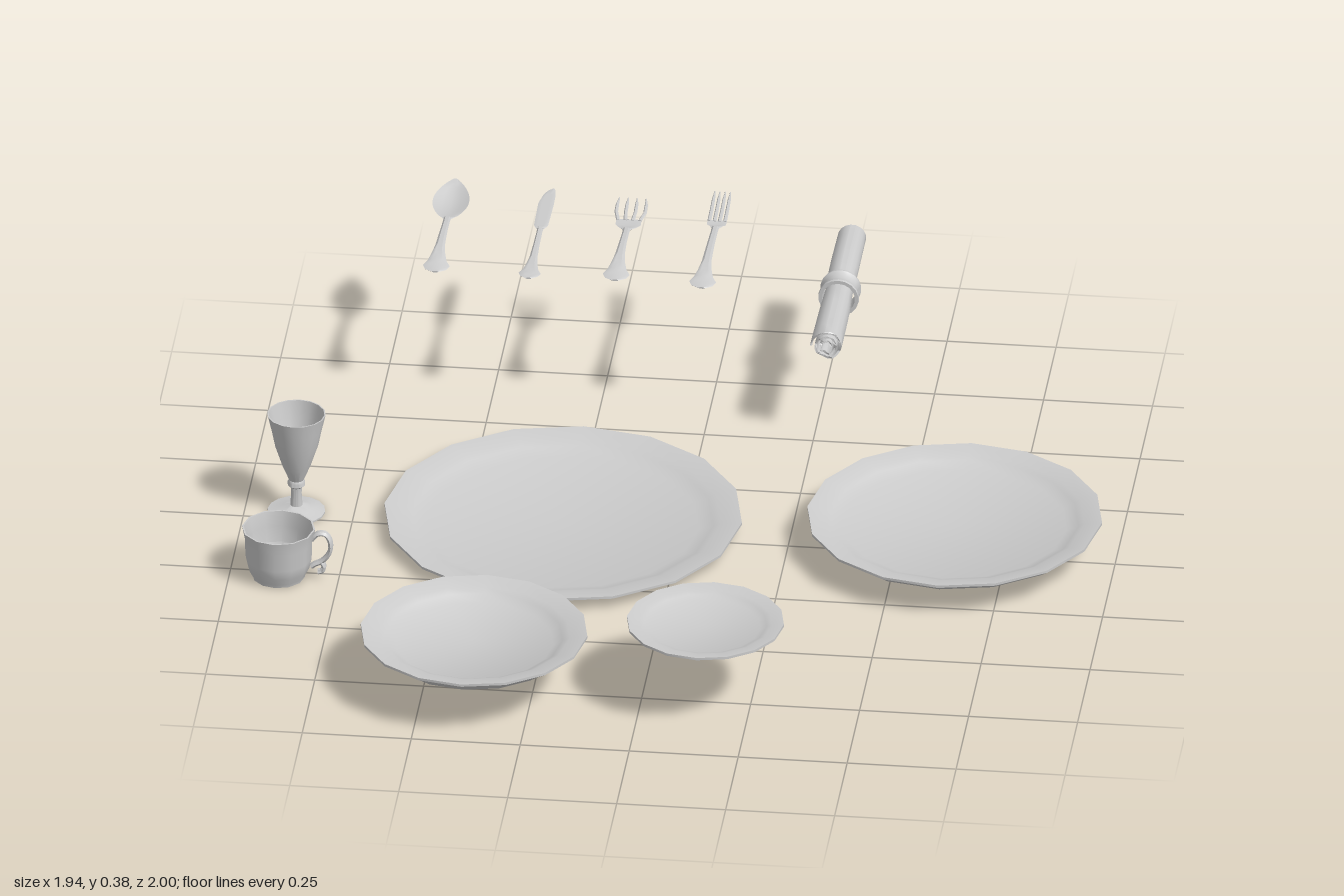
import * as THREE from 'three';
import { toCreasedNormals } from 'three/addons/utils/BufferGeometryUtils.js';

const material = new THREE.MeshStandardMaterial({ color: 0xcccccc, side: THREE.DoubleSide });

function addMesh(parent, name, geometry, x = 0, y = 0, z = 0) {
  const mesh = new THREE.Mesh(toCreasedNormals(geometry, 0.62), material);
  mesh.name = name;
  mesh.position.set(x, y, z);
  parent.add(mesh);
  return mesh;
}

const lathe = (profile, sides) =>
  new THREE.LatheGeometry(profile.map(([r, y]) => new THREE.Vector2(r, y)), sides);

// Plate: flat base, sloping rim, shallow well
function plate(parent, name, x, y, z, r, h, base, well) {
  const profile = [
    [0, 0], [base * r, 0], [(base + 0.08) * r, h * 0.38], [r, h - 0.006], [r, h],
    [well * r + (1 - well) * r * 0.4, h * 0.8], [(well + 0.04) * r, h * 0.62],
    [(well - 0.04) * r, h * 0.3], [0, h * 0.26],
  ];
  addMesh(parent, name, lathe(profile, 16), x, y, z);
}

// Solid strip along -z from stations [z, halfWidth, y, thickness, dish, xOffset]
function strip(stations) {
  const positions = [], index = [], n = 8;
  for (const [z, w, y, t, dish = 0, x = 0] of stations) {
    const ring = [
      [-w, 0], [-w / 2, t / 2 - 0.75 * dish], [0, t / 2 - dish], [w / 2, t / 2 - 0.75 * dish],
      [w, 0], [w / 2, -t / 2 - 0.75 * dish], [0, -t / 2 - dish], [-w / 2, -t / 2 - 0.75 * dish],
    ];
    for (const [px, py] of ring) positions.push(x + px, y + py, z);
  }
  for (let i = 0; i < stations.length - 1; i++) {
    for (let j = 0; j < n; j++) {
      const a = i * n + j, b = i * n + (j + 1) % n;
      index.push(a, b, b + n, a, b + n, a + n);
    }
  }
  const last = (stations.length - 1) * n;
  for (let j = 1; j < n - 1; j++) index.push(0, j + 1, j, last, last + j, last + j + 1);
  const geometry = new THREE.BufferGeometry();
  geometry.setAttribute('position', new THREE.Float32BufferAttribute(positions, 3));
  geometry.setIndex(index);
  geometry.computeVertexNormals();
  return geometry;
}

// Handle with flared, pointed end; arch lifts its middle
function handle(end, neck, arch) {
  const y = 0.362, L = end - neck;
  return [
    [end, 0.008, y, 0.004], [end - 0.01, 0.024, y, 0.006], [end - 0.024, 0.031, y + arch * 0.2, 0.007],
    [end - 0.04, 0.022, y + arch * 0.45, 0.008], [end - 0.065, 0.016, y + arch * 0.75, 0.009],
    [end - 0.1, 0.011, y + arch, 0.009], [end - L * 0.65, 0.009, y + arch * 0.9, 0.009],
    [neck + 0.02, 0.008, y + arch * 0.45, 0.009], [neck, 0.009, y + arch * 0.3, 0.008],
  ];
}

function spoon(parent, x) {
  const g = new THREE.Group();
  g.name = 'spoon';
  addMesh(g, 'spoonHandle', strip(handle(-0.542, -0.79, 0.014)));
  const bowl = [];
  for (let i = 0; i <= 12; i++) {
    const t = i / 12;
    const w = 0.042 * Math.pow(Math.sin(Math.PI * (0.04 + 0.94 * Math.pow(t, 0.9))), 0.75);
    bowl.push([-0.785 - 0.165 * t, w, 0.366 + 0.013 * t, 0.004, 0.014 * Math.sin(Math.PI * t)]);
  }
  addMesh(g, 'spoonBowl', strip(bowl));
  g.position.x = x;
  parent.add(g);
}

function knife(parent, x) {
  const g = new THREE.Group();
  g.name = 'knife';
  addMesh(g, 'knifeHandle', strip(handle(-0.535, -0.775, 0).map(([z, w, y, t]) => [z, w * 0.83, y, t])));
  addMesh(g, 'knifeBlade', strip([
    [-0.77, 0.009, 0.362, 0.006], [-0.785, 0.016, 0.362, 0.004], [-0.83, 0.017, 0.362, 0.003],
    [-0.89, 0.018, 0.362, 0.003], [-0.93, 0.014, 0.362, 0.003, 0, 0.003],
    [-0.95, 0.009, 0.362, 0.003, 0, 0.006], [-0.96, 0.003, 0.362, 0.002, 0, 0.009],
  ]));
  g.position.x = x;
  parent.add(g);
}

// Fork: handle, curved head and four tines
function fork(parent, name, x, end, neck, root, tip, halfWidth, spread) {
  const g = new THREE.Group();
  g.name = name;
  addMesh(g, name + 'Handle', strip(handle(end, neck, 0.014)));
  const mid = (neck + root) / 2;
  addMesh(g, name + 'Head', strip([
    [neck + 0.004, 0.009, 0.366, 0.007], [neck - 0.01, halfWidth * 0.7, 0.364, 0.006, 0.002],
    [mid, halfWidth, 0.363, 0.005, 0.003], [root, halfWidth, 0.365, 0.005, 0.003],
  ]));
  for (let i = 0; i < 4; i++) {
    const s = (i - 1.5) / 1.5, inner = halfWidth - 0.004, L = root - tip;
    addMesh(g, name + 'Tine', strip([
      [root + 0.004, 0.0045, 0.364, 0.005, 0, s * inner],
      [root - L * 0.4, 0.0042, 0.367, 0.005, 0, s * (inner + spread)],
      [root - L * 0.75, 0.0038, 0.373, 0.005, 0, s * (inner + spread)],
      [tip, 0.0015, 0.378, 0.003, 0, s * (inner + spread * 0.7)],
    ]));
  }
  g.position.x = x;
  parent.add(g);
}

function cup(parent) {
  const g = new THREE.Group();
  g.name = 'cup';
  addMesh(g, 'cupBowl', lathe([
    [0, 0.006], [0.05, 0.006], [0.052, 0], [0.06, 0], [0.062, 0.008], [0.071, 0.025], [0.076, 0.05],
    [0.077, 0.09], [0.084, 0.125], [0.08, 0.125], [0.072, 0.09], [0.071, 0.05], [0.055, 0.018], [0, 0.016],
  ], 12));
  const path = [[0.077, 0.1], [0.09, 0.115], [0.108, 0.115], [0.119, 0.095], [0.117, 0.068],
    [0.1, 0.045], [0.083, 0.036], [0.076, 0.03]];
  const curl = [[0.098, 0.044], [0.104, 0.032], [0.1, 0.02], [0.091, 0.017]];
  for (const [name, pts] of [['cupHandle', path], ['cupHandleCurl', curl]]) {
    const curve = new THREE.CatmullRomCurve3(pts.map(([x, y]) => new THREE.Vector3(x, y, 0)));
    addMesh(g, name, new THREE.TubeGeometry(curve, 16, 0.006, 6)).scale.z = 1.8;
  }
  g.position.set(-0.888, 0, 0.27);
  parent.add(g);
}

function napkin(parent) {
  const g = new THREE.Group();
  g.name = 'rolledNapkin';
  // Spiral cross-section extruded along z
  const outer = [], inner = [], steps = 44, length = 0.52;
  for (let i = 0; i <= steps; i++) {
    const a = (i / steps) * Math.PI * 5, r = 0.012 + 0.026 * (i / steps);
    outer.push(new THREE.Vector2(Math.cos(a) * r, Math.sin(a) * r));
    inner.push(new THREE.Vector2(Math.cos(a) * (r - 0.005), Math.sin(a) * (r - 0.005)));
  }
  const roll = new THREE.ExtrudeGeometry(new THREE.Shape([...outer, ...inner.reverse()]),
    { depth: length, steps: 12, bevelEnabled: false });
  // Pinch under the ring, slight sag and uneven front edge
  const p = roll.attributes.position;
  for (let i = 0; i < p.count; i++) {
    const x = p.getX(i), y = p.getY(i), t = p.getZ(i) / length;
    const k = 0.93 + 0.1 * t - 0.08 * Math.exp(-Math.pow((t - 0.5) / 0.12, 2));
    const ragged = t > 0.99 ? 0.005 * Math.sin(Math.atan2(y, x) * 4) : 0;
    p.setXYZ(i, x * k, y * k + 0.003 * Math.sin(t * 7), p.getZ(i) + ragged);
  }
  roll.computeVertexNormals();
  addMesh(g, 'napkinRoll', roll, 0, 0, -1);
  const ring = lathe([
    [0.038, -0.027], [0.046, -0.027], [0.047, -0.021], [0.041, -0.012], [0.04, 0],
    [0.041, 0.012], [0.047, 0.021], [0.046, 0.027], [0.038, 0.027], [0.037, 0], [0.038, -0.027],
  ], 18);
  addMesh(g, 'napkinRing', ring, 0, 0, -0.737).rotation.x = Math.PI / 2;
  g.position.set(0.284, 0.257, 0);
  parent.add(g);
}

export function createModel() {
  const model = new THREE.Group();
  model.name = 'tableSetting';

  plate(model, 'chargerPlate', -0.27, 0, -0.035, 0.41, 0.035, 0.82, 0.8);
  plate(model, 'dinnerPlate', 0.628, 0.05, -0.037, 0.338, 0.036, 0.85, 0.8);
  plate(model, 'saladPlate', -0.386, 0.105, 0.737, 0.26, 0.042, 0.8, 0.74);
  plate(model, 'breadPlate', 0.145, 0.184, 0.738, 0.18, 0.022, 0.82, 0.74);

  // Goblet: foot, stem with collar, open conical bowl
  addMesh(model, 'goblet', lathe([
    [0, 0], [0.066, 0], [0.066, 0.004], [0.035, 0.01], [0.014, 0.018], [0.012, 0.05], [0.013, 0.064],
    [0.02, 0.07], [0.02, 0.078], [0.017, 0.084], [0.032, 0.12], [0.05, 0.175], [0.058, 0.215],
    [0.067, 0.254], [0.064, 0.254], [0.055, 0.215], [0.046, 0.175], [0.028, 0.12], [0, 0.085],
  ], 16), -0.882, 0, -0.036);

  cup(model);
  spoon(model, -0.622);
  knife(model, -0.407);
  fork(model, 'saladFork', -0.21, -0.548, -0.785, -0.832, -0.907, 0.029, 0.008);
  fork(model, 'dinnerFork', -0.01, -0.535, -0.815, -0.85, -0.96, 0.022, 0);
  napkin(model);
  return model;
}
